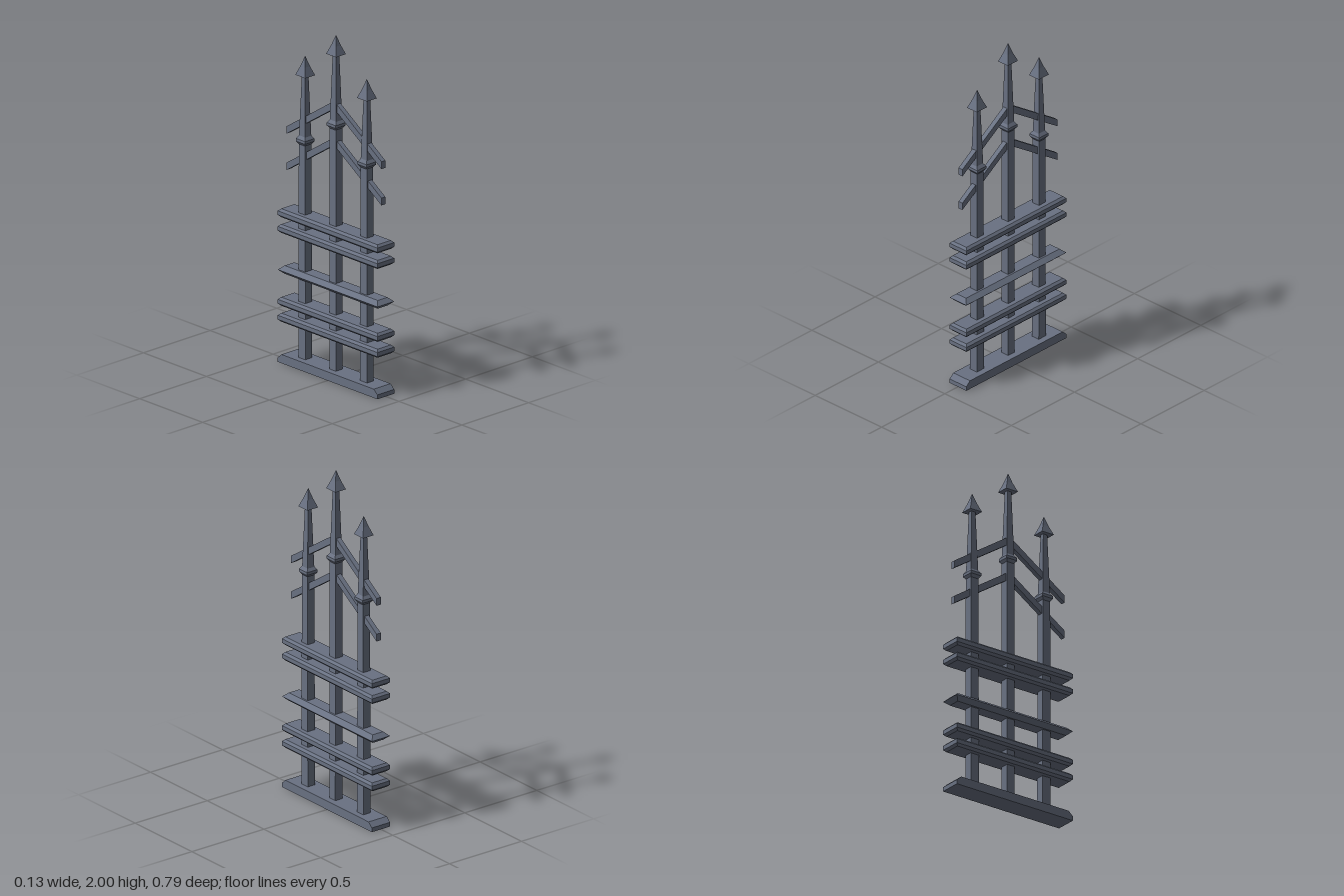
import * as THREE from 'three';

const iron = new THREE.MeshStandardMaterial({ color: 0x697182 });
iron.name = 'slate iron';

// Solid lofted through rectangular sections [y, halfX, halfZ], listed bottom to top
function loft(sections) {
  const pos = [];
  const rings = sections.map(([y, x, z]) => [[-x, y, z], [x, y, z], [x, y, -z], [-x, y, -z]]);
  const quad = (a, b, c, d) => pos.push(...a, ...b, ...c, ...a, ...c, ...d);
  for (let i = 0; i < rings.length - 1; i++) {
    const lo = rings[i], hi = rings[i + 1];
    for (let k = 0; k < 4; k++) {
      const n = (k + 1) % 4;
      quad(lo[k], lo[n], hi[n], hi[k]);
    }
  }
  const b = rings[0], t = rings[rings.length - 1];
  quad(b[3], b[2], b[1], b[0]);
  quad(t[0], t[1], t[2], t[3]);
  const geo = new THREE.BufferGeometry();
  geo.setAttribute('position', new THREE.Float32BufferAttribute(pos, 3));
  geo.computeVertexNormals();
  return geo;
}

export function createModel() {
  const model = new THREE.Group();
  model.name = 'spikedFence';
  const add = (name, geo, y = 0, z = 0, parent = model) => {
    const mesh = new THREE.Mesh(geo, iron);
    mesh.name = name;
    mesh.position.set(0, y, z);
    parent.add(mesh);
  };

  // Plinth, bevelled at its two ends only
  add('base', loft([[0, 0.063, 0.396], [0.025, 0.063, 0.396], [0.051, 0.063, 0.367]]));

  // Bevelled rails in two pairs
  const rail = loft([
    [-0.025, 0.05, 0.383], [-0.012, 0.063, 0.396], [0.012, 0.063, 0.396], [0.025, 0.05, 0.383],
  ]);
  for (const y of [0.26, 0.353, 0.778, 0.869]) add('rail', rail, y);

  // Sharp-edged middle rail
  add('middleRail', loft([[-0.024, 0.036, 0.37], [0, 0.063, 0.396], [0.024, 0.036, 0.37]]), 0.538);

  // Posts with a collar and a spear head
  const head = loft([[-0.112, 0.037, 0.04], [-0.06, 0.018, 0.019], [0, 0, 0]]);
  const collar = loft([
    [-0.036, 0.016, 0.016], [-0.008, 0.036, 0.036], [0.008, 0.036, 0.036], [0.036, 0.016, 0.016],
  ]);
  for (const [z, tip, collarY, halfZ] of [[-0.245, 1.81, 1.32, 0.028], [0, 2, 1.48, 0.025], [0.245, 1.81, 1.32, 0.028]]) {
    const post = new THREE.Group();
    post.name = 'spearPost';
    post.position.z = z;
    model.add(post);
    add('shaft', loft([[0.04, 0.025, halfZ], [collarY, 0.024, 0.025], [tip - 0.1, 0.012, 0.013]]), 0, 0, post);
    add('collar', collar, collarY, 0, post);
    add('spearHead', head, tip, 0, post);
  }

  // Two gabled bars
  const gable = new THREE.Shape([
    [-0.376, -0.293], [0, -0.045], [0.376, -0.293], [0.376, -0.25], [0, 0], [-0.376, -0.25],
  ].map(([u, v]) => new THREE.Vector2(u, v)));
  const gableGeo = new THREE.ExtrudeGeometry(gable, { depth: 0.029, bevelEnabled: false });
  gableGeo.translate(0, 0, -0.0145);
  gableGeo.rotateY(Math.PI / 2);
  for (const y of [1.405, 1.617]) add('gableBar', gableGeo, y);

  return model;
}
